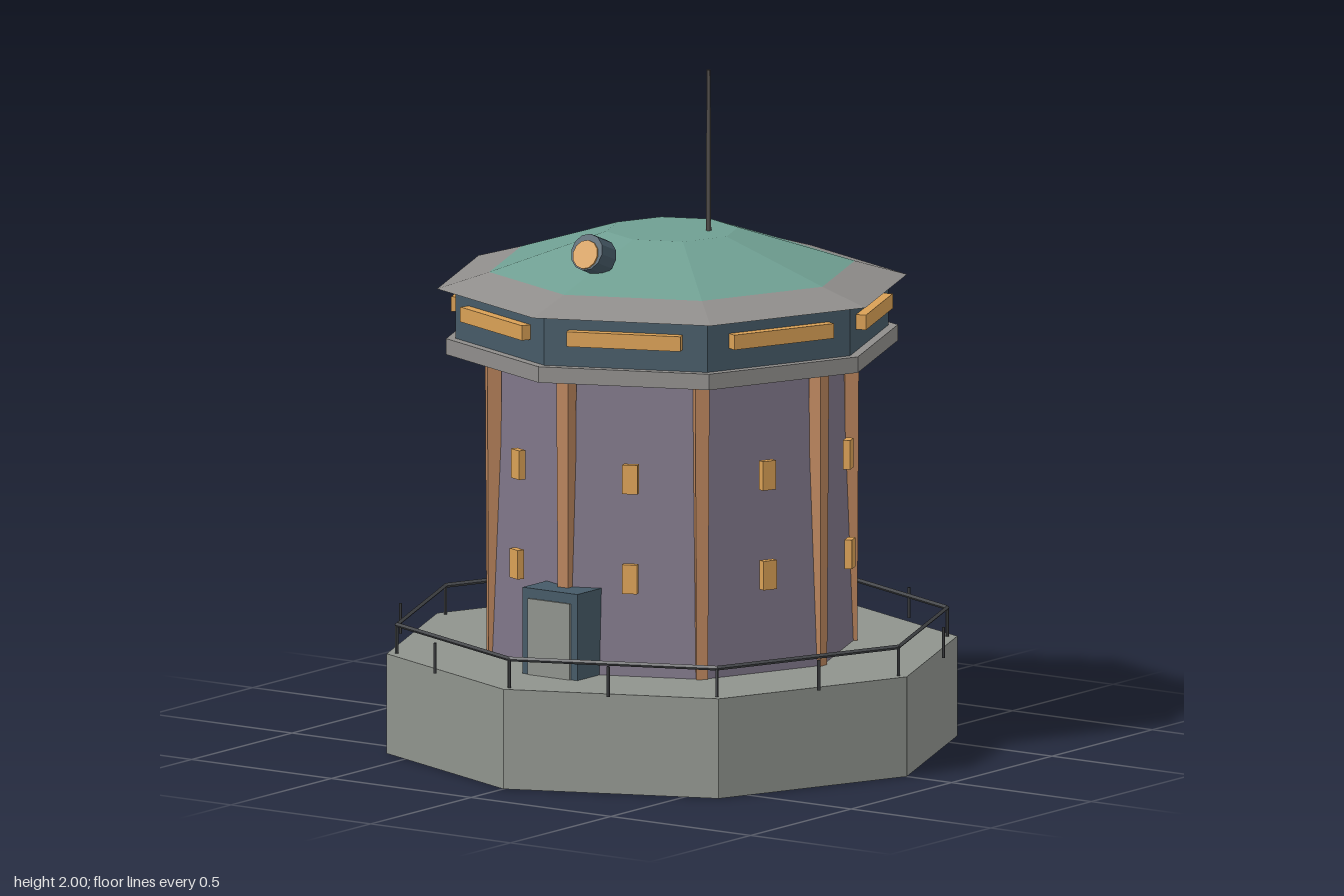
import * as THREE from 'three';

const paint = (name, color) => {
  const m = new THREE.MeshStandardMaterial({ color, flatShading: true });
  m.name = name;
  return m;
};

export function createModel() {
  const concrete = paint('concrete', 0x8f938d);
  const stone = paint('grey trim', 0x8f8d8b);
  const wall = paint('mauve wall', 0x7e7587);
  const copper = paint('copper pillar', 0xb9845c);
  const teal = paint('teal roof', 0x6f9f92);
  const navy = paint('navy cladding', 0x465a67);
  const amber = paint('amber glass', 0xd9a055);
  const dark = paint('dark metal', 0x45474a);
  const mast = paint('mast metal', 0x66625f);

  const model = new THREE.Group();
  model.name = 'octagonalTower';

  const add = (name, geometry, material, x = 0, y = 0, z = 0, parent = model) => {
    const mesh = new THREE.Mesh(geometry, material);
    mesh.name = name;
    mesh.position.set(x, y, z);
    parent.add(mesh);
    return mesh;
  };
  // Eight-sided drum with a corner on each axis
  const drum = (name, rTop, rBottom, y0, y1, material) =>
    add(name, new THREE.CylinderGeometry(rTop, rBottom, y1 - y0, 8), material, 0, (y0 + y1) / 2, 0);
  // Part placed at a compass angle and radius, facing outward
  const around = (name, geometry, material, angle, r, y) => {
    const mesh = add(name, geometry, material, Math.sin(angle) * r, y, Math.cos(angle) * r);
    mesh.rotation.y = angle;
    return mesh;
  };

  // Main stacked volumes
  drum('base', 0.84, 0.84, 0, 0.295, concrete);
  drum('towerWall', 0.505, 0.538, 0.295, 1.18, wall);
  drum('galleryLedge', 0.665, 0.665, 1.175, 1.222, stone);
  drum('gallery', 0.637, 0.637, 1.222, 1.37, navy);
  drum('roofSkirt', 0.538, 0.692, 1.37, 1.415, stone);
  drum('roof', 0.195, 0.538, 1.415, 1.525, teal);

  // Corner pillars, slightly narrower at the foot
  const pillarGeo = new THREE.BoxGeometry(0.042, 0.885, 0.042);
  const p = pillarGeo.attributes.position;
  for (let i = 0; i < p.count; i++) {
    if (p.getY(i) < 0) {
      p.setX(i, p.getX(i) * 0.8);
      p.setZ(i, p.getZ(i) * 0.8);
    }
  }
  const towerWindow = new THREE.BoxGeometry(0.045, 0.086, 0.022);
  const galleryWindow = new THREE.BoxGeometry(0.34, 0.044, 0.03);
  for (let i = 0; i < 8; i++) {
    const corner = (i * Math.PI) / 4;
    const face = corner + Math.PI / 8;
    around('pillar', pillarGeo, copper, corner, 0.526, 0.7375);
    around('lowerWindow', towerWindow, amber, face, 0.531, 0.59);
    around('upperWindow', towerWindow, amber, face, 0.526, 0.884);
    around('galleryWindow', galleryWindow, amber, face, 0.604, 1.308);
  }

  // Deck railing: octagonal top rail with a ring of sixteen posts
  const rail = add('rail', new THREE.TorusGeometry(0.81, 0.007, 4, 8), dark, 0, 0.38, 0);
  rail.rotation.x = Math.PI / 2;
  const postGeo = new THREE.CylinderGeometry(0.005, 0.005, 0.09, 6);
  for (let i = 0; i < 16; i++) around('railPost', postGeo, dark, (i * Math.PI) / 8, 0.81, 0.338);

  // Entrance porch and door
  add('porch', new THREE.BoxGeometry(0.196, 0.255, 0.15), navy, 0, 0.4225, 0.533);
  add('door', new THREE.BoxGeometry(0.15, 0.225, 0.008), concrete, 0, 0.4075, 0.61);

  // Roof searchlight, tipped slightly upward
  const lamp = new THREE.Group();
  lamp.name = 'searchlight';
  lamp.position.set(0, 1.51, 0.39);
  lamp.rotation.x = Math.PI / 2 - 0.37;
  model.add(lamp);
  add('lampHousing', new THREE.CylinderGeometry(0.055, 0.055, 0.075, 12), navy, 0, 0, 0, lamp);
  add('lampLens', new THREE.CylinderGeometry(0.043, 0.043, 0.008, 12), amber, 0, 0.039, 0.008, lamp);

  // Antenna mast
  add('antenna', new THREE.CylinderGeometry(0.006, 0.008, 0.48, 8), mast, 0.097, 1.76, -0.047);

  return model;
}
